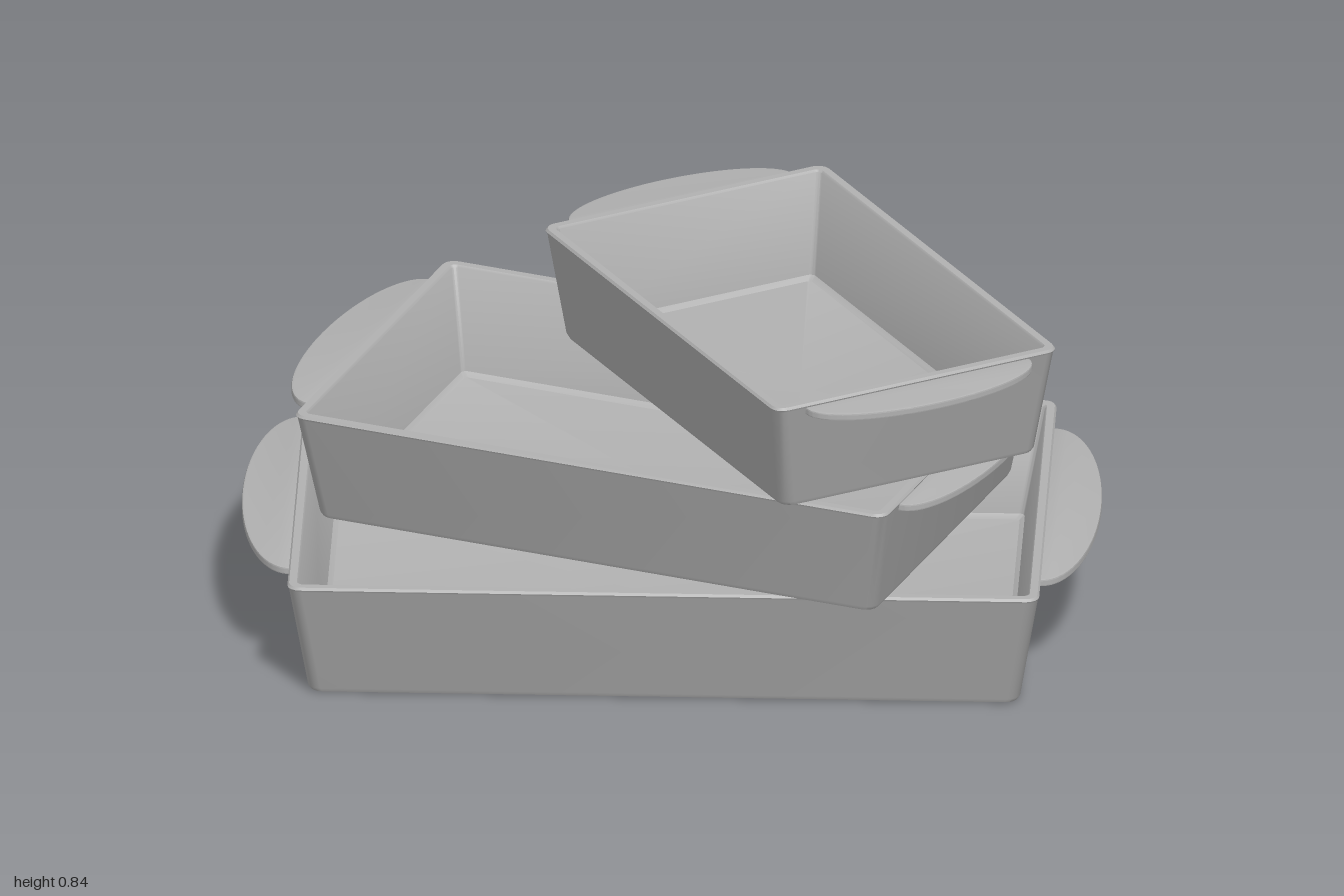
import * as THREE from 'three';
import { toCreasedNormals } from 'three/addons/utils/BufferGeometryUtils.js';

const ceramic = new THREE.MeshStandardMaterial({ color: 0xb0b0b0 });
ceramic.name = 'grey ceramic';

// One rounded-rectangle loop of points at height y
function roundedLoop(hx, hz, r, y, steps = 4) {
  const pts = [];
  [[1, 1], [-1, 1], [-1, -1], [1, -1]].forEach(([sx, sz], k) => {
    for (let i = 0; i <= steps; i++) {
      const a = (k + i / steps) * Math.PI / 2;
      pts.push([sx * (hx - r) + r * Math.cos(a), y, sz * (hz - r) + r * Math.sin(a)]);
    }
  });
  return pts;
}

// Open dish with flared walls: loops run up the outside, over the rim and down the inside
function dishGeometry(length, width, height, flare) {
  const hx = length / 2, hz = width / 2;
  // [inset from the rim, height, corner radius]
  const profile = [
    [flare + 0.012, 0, 0.025],
    [flare + 0.003, 0.004, 0.03],
    [flare - 0.002, 0.014, 0.03],
    [0.003, height - 0.012, 0.03],
    [0.0, height - 0.006, 0.03],
    [0.004, height, 0.028],
    [0.022, height, 0.016],
    [0.026, height - 0.005, 0.014],
    [flare + 0.024, 0.03, 0.014],
    [flare + 0.036, 0.02, 0.01],
  ];
  const loops = profile.map(([inset, y, r]) => roundedLoop(hx - inset, hz - inset, r, y));
  const n = loops[0].length;
  const pos = loops.flat(2);
  const index = [];
  for (let j = 0; j < loops.length - 1; j++) {
    for (let i = 0; i < n; i++) {
      const a = j * n + i, b = j * n + (i + 1) % n;
      index.push(a, a + n, b, b, a + n, b + n);
    }
  }
  // Underside and inner floor
  const under = loops.length * n, floor = under + 1, last = (loops.length - 1) * n;
  pos.push(0, 0, 0, 0, 0.02, 0);
  for (let i = 0; i < n; i++) {
    const k = (i + 1) % n;
    index.push(under, i, k, floor, last + k, last + i);
  }
  const geo = new THREE.BufferGeometry();
  geo.setAttribute('position', new THREE.Float32BufferAttribute(pos, 3));
  geo.setIndex(index);
  return toCreasedNormals(geo, 0.6);
}

// Half-ellipse grip that lies flat and points along +x
function handleGeometry(half, reach) {
  const shape = new THREE.Shape();
  shape.moveTo(-0.016, -half);
  shape.lineTo(0, -half);
  shape.absellipse(0, 0, reach - 0.004, half, -Math.PI / 2, Math.PI / 2, false);
  shape.lineTo(-0.016, half);
  const geo = new THREE.ExtrudeGeometry(shape, {
    depth: 0.01, bevelEnabled: true, bevelThickness: 0.004, bevelSize: 0.004,
    bevelSegments: 2, curveSegments: 32,
  });
  geo.translate(0, 0, -0.005);
  geo.rotateX(-Math.PI / 2);
  return toCreasedNormals(geo, 0.6);
}

function makeDish({ name, length, width, height, flare, grip, reach, at, turn }) {
  const dish = new THREE.Group();
  dish.name = name;
  const body = new THREE.Mesh(dishGeometry(length, width, height, flare), ceramic);
  body.name = 'dishBody';
  dish.add(body);

  // A grip at each short end, just below the rim
  const gripGeo = handleGeometry(grip, reach);
  for (const side of [1, -1]) {
    const handle = new THREE.Mesh(gripGeo, ceramic);
    handle.name = side > 0 ? 'handleA' : 'handleB';
    handle.position.set(side * length / 2, height - 0.019, 0);
    if (side < 0) handle.rotation.y = Math.PI;
    dish.add(handle);
  }
  dish.position.set(...at);
  dish.rotation.y = turn;
  return dish;
}

export function createModel() {
  const model = new THREE.Group();
  model.name = 'stackedBakingDishes';
  const dishes = [
    { name: 'largeDish', length: 1.75, width: 1.12, height: 0.29, flare: 0.048,
      grip: 0.42, reach: 0.125, at: [0, 0, -0.02], turn: 0 },
    { name: 'mediumDish', length: 1.49, width: 0.945, height: 0.275, flare: 0.045,
      grip: 0.37, reach: 0.12, at: [-0.015, 0.29, -0.013], turn: -0.352 },
    { name: 'smallDish', length: 1.17, width: 0.745, height: 0.275, flare: 0.038,
      grip: 0.29, reach: 0.115, at: [0.3, 0.565, 0.013], turn: -1.045 },
  ];
  dishes.forEach((d) => model.add(makeDish(d)));
  return model;
}
